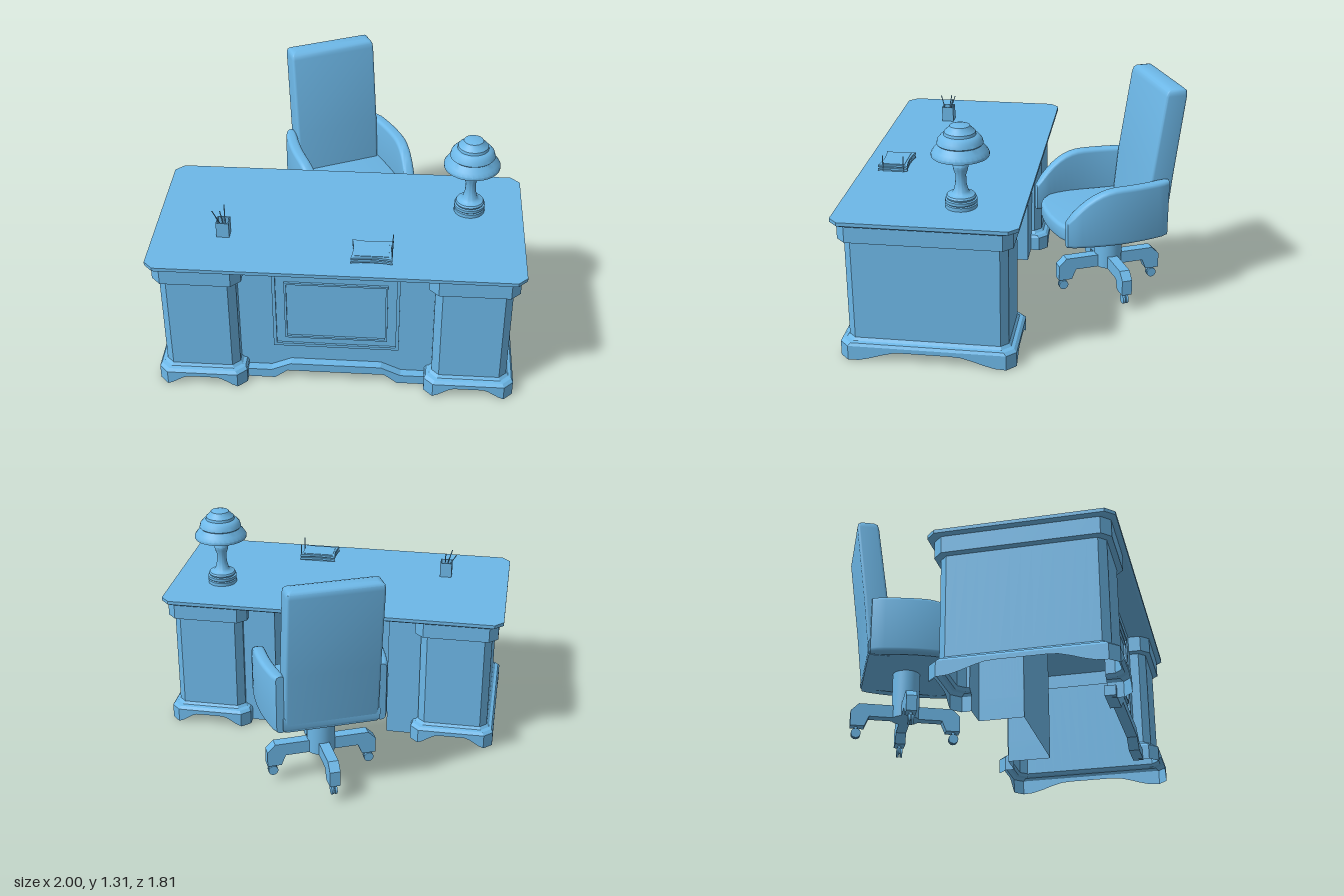
import * as THREE from 'three';
import { toCreasedNormals } from 'three/addons/utils/BufferGeometryUtils.js';

const mat = new THREE.MeshStandardMaterial({ color: 0x6db8e8 });
const matDouble = new THREE.MeshStandardMaterial({ color: 0x6db8e8, side: THREE.DoubleSide });

function add(parent, name, geo, x = 0, y = 0, z = 0, material = mat) {
  const mesh = new THREE.Mesh(geo, material);
  mesh.name = name;
  mesh.position.set(x, y, z);
  parent.add(mesh);
  return mesh;
}

// Rectangle outline, counter-clockwise, with cut (arc = 1) or rounded corners
function outline(hw, hd, r, arc = 1) {
  const pts = [];
  [[1, 1], [-1, 1], [-1, -1], [1, -1]].forEach(([sx, sy], k) => {
    for (let i = 0; i <= arc; i++) {
      const a = (k + i / arc) * Math.PI / 2;
      pts.push([sx * (hw - r) + r * Math.cos(a), sy * (hd - r) + r * Math.sin(a)]);
    }
  });
  return pts;
}

// Skin a stack of rings and, unless it is a shell, close both ends
function loft(rings, crease = 0.5, capped = true) {
  const pos = [];
  const tri = (...v) => v.forEach((p) => pos.push(...p));
  const middle = (ring) => [0, 1, 2].map((c) => {
    const v = ring.map((p) => p[c]);
    return (Math.min(...v) + Math.max(...v)) / 2;
  });
  const n = rings[0].length;
  const last = rings[rings.length - 1];
  for (let i = 0; i < n; i++) {
    const j = (i + 1) % n;
    for (let k = 0; k < rings.length - 1; k++) {
      const a = rings[k], b = rings[k + 1];
      tri(a[i], a[j], b[j]);
      tri(a[i], b[j], b[i]);
    }
    if (capped) {
      tri(middle(rings[0]), rings[0][j], rings[0][i]);
      tri(middle(last), last[i], last[j]);
    }
  }
  const geo = new THREE.BufferGeometry();
  geo.setAttribute('position', new THREE.Float32BufferAttribute(pos, 3));
  return toCreasedNormals(geo, crease);
}

const levelRing = (pts, y, zc = 0) => pts.map(([u, v]) => [u, y, zc - v]);

const polygon = (pts) => new THREE.Shape(pts.map(([x, y]) => new THREE.Vector2(x, y)));

const mirror = ([x, y]) => [-x, y];

function frameGeometry(hw, hh, w, depth) {
  const rect = (a, b) => [[-a, -b], [a, -b], [a, b], [-a, b]];
  const shape = polygon(rect(hw, hh));
  shape.holes.push(polygon(rect(hw - w, hh - w).reverse()));
  return new THREE.ExtrudeGeometry(shape, { depth, bevelEnabled: false });
}

const PED_X = 0.735, PED_Z = 0.407, PANEL_Z = 0.75;

// Plan of the desk body: two pedestals, recessed front panel and stepped kneehole
function deskPlan(w, d, c) {
  const xi = PED_X - w, xo = PED_X + w, zf = PED_Z + d, zb = PED_Z - d;
  const half = [[xi, PANEL_Z], [xi, zf - c], [xi + c, zf], [xo - c, zf], [xo, zf - c], [xo, zb + c],
    [xo - c, zb], [xi + c, zb], [xi, zb + c], [xi, 0.03], [0.34, 0.03], [0.34, 0.28]];
  const corners = [...half, ...half.map(mirror).reverse()];
  const steps = 14;
  return corners.flatMap(([x, z], i) => {
    const [nx, nz] = corners[(i + 1) % corners.length];
    return Array.from({ length: steps }, (_, k) => [x + (nx - x) * k / steps, z + (nz - z) * k / steps]);
  });
}

function makeDesk() {
  const desk = new THREE.Group();
  desk.name = 'desk';
  add(desk, 'desktop', loft([[0.985, 0.79], [1, 0.8], [1, 0.82]].map(
    ([w, y]) => levelRing(outline(w, w - 0.505, 0.05), y, 0.405))));

  // Hollow body: bracket feet with scalloped edge, walls and cornice
  const arch = (t) => 0.06 * (1 - THREE.MathUtils.smoothstep(Math.abs(t), 0.3, 0.85));
  const footY = (x, z) => {
    if (Math.abs(x) < PED_X - 0.245 - 1e-6) return z > 0.5 ? 0.06 : 0;
    return Math.max(arch((Math.abs(x) - PED_X) / 0.245), arch((z - PED_Z) / 0.48));
  };
  const foot = deskPlan(0.245, 0.48, 0.05).map(([x, z]) => [x, footY(x, z), z]);
  const profile = [[0.245, 0.48, 0.085, 0.05], [0.235, 0.465, 0.1, 0.05], [0.218, 0.447, 0.105, 0.045],
    [0.205, 0.435, 0.12, 0.04], [0.205, 0.435, 0.69, 0.04], [0.238, 0.465, 0.695, 0.05], [0.238, 0.465, 0.79, 0.05]];
  const rings = profile.map(([w, d, y, c]) => deskPlan(w, d, c).map(([x, z]) => [x, y, z]));
  add(desk, 'deskBody', loft([foot, ...rings], 0.3, false), 0, 0, 0, matDouble);

  // Nested mouldings on both faces of the front panel
  for (const z of [PANEL_Z, PANEL_Z - 0.012]) {
    add(desk, 'outerMoulding', frameGeometry(0.345, 0.25, 0.018, 0.012), 0, 0.46, z);
    add(desk, 'innerMoulding', frameGeometry(0.28, 0.19, 0.012, 0.012), 0, 0.46, z);
  }
  const half = [[0.52, 0.005], [0.52, 0.06], [0.36, 0.06], [0.25, 0.11]];
  const under = [[0.27, 0.06], [0.34, 0.005]];
  const plinth = polygon([...half, ...half.map(mirror).reverse(), ...under.map(mirror).reverse(), ...under]);
  add(desk, 'plinth', new THREE.ExtrudeGeometry(plinth, { depth: 0.06, bevelEnabled: false }), 0, 0, PANEL_Z - 0.01);
  return desk;
}

function makeLamp() {
  const lamp = new THREE.Group();
  lamp.name = 'lamp';
  const lathe = (pts) => toCreasedNormals(
    new THREE.LatheGeometry(pts.map(([r, y]) => new THREE.Vector2(r, y)), 32), 0.6);
  add(lamp, 'lampStand', lathe([[0, 0], [0.085, 0], [0.085, 0.02], [0.078, 0.024], [0.085, 0.03], [0.085, 0.046],
    [0.076, 0.05], [0.08, 0.06], [0.074, 0.07], [0.05, 0.078], [0.04, 0.09], [0.03, 0.13], [0.028, 0.18],
    [0.038, 0.21], [0.042, 0.23], [0.034, 0.25], [0.034, 0.27], [0.045, 0.3], [0.045, 0.33], [0, 0.33]]));
  add(lamp, 'lampShade', lathe([[0.153, 0.29], [0.153, 0.305], [0.14, 0.325], [0.117, 0.352], [0.123, 0.358],
    [0.117, 0.38], [0.1, 0.4], [0.085, 0.405], [0.082, 0.42], [0.06, 0.44], [0.053, 0.452], [0.03, 0.458],
    [0, 0.46]]), 0, 0, 0, matDouble);
  lamp.position.set(0.705, 0.82, 0.25);
  return lamp;
}

function makeStationery() {
  const group = new THREE.Group();
  group.name = 'stationery';
  // Square pencil cup
  const cup = frameGeometry(0.035, 0.035, 0.006, 0.09).rotateX(-Math.PI / 2);
  add(group, 'pencilCup', cup, -0.62, 0.82, 0.57);
  add(group, 'cupFloor', new THREE.BoxGeometry(0.06, 0.01, 0.06), -0.62, 0.825, 0.57);
  for (const [x, y, z] of [[-0.68, 0.96, 0.56], [-0.65, 0.965, 0.62], [-0.617, 0.98, 0.525], [-0.64, 0.95, 0.545]]) {
    const path = new THREE.LineCurve3(new THREE.Vector3(-0.61, 0.835, 0.575), new THREE.Vector3(x, y, z));
    add(group, 'pencil', new THREE.TubeGeometry(path, 1, 0.003, 6));
  }
  // Paper tray with wavy edges and two pens
  const sheet = new THREE.Shape();
  sheet.moveTo(-0.11, -0.085);
  sheet.quadraticCurveTo(0, -0.06, 0.11, -0.085);
  sheet.quadraticCurveTo(0.09, 0, 0.11, 0.085);
  sheet.quadraticCurveTo(0, 0.06, -0.11, 0.085);
  sheet.quadraticCurveTo(-0.09, 0, -0.11, -0.085);
  [0.83, 0.85].forEach((y) => {
    const geo = new THREE.ExtrudeGeometry(sheet, { depth: 0.012, bevelEnabled: false }).rotateX(-Math.PI / 2);
    add(group, 'trayLayer', geo, 0.19, y, 0.715);
  });
  add(group, 'trayBody', new THREE.BoxGeometry(0.18, 0.045, 0.125), 0.19, 0.8425, 0.715);
  for (const z of [0.655, 0.772]) {
    add(group, 'pen', new THREE.CylinderGeometry(0.003, 0.003, 0.09, 6), 0.297, 0.875, z);
  }
  return group;
}

function makeChair() {
  const chair = new THREE.Group();
  chair.name = 'chair';
  // Seat with bowed front
  const plan = new THREE.Shape();
  plan.moveTo(-0.25, 0.23);
  plan.lineTo(-0.28, -0.2);
  plan.quadraticCurveTo(-0.25, -0.33, -0.14, -0.35);
  plan.quadraticCurveTo(0, -0.375, 0.14, -0.35);
  plan.quadraticCurveTo(0.25, -0.33, 0.28, -0.2);
  plan.lineTo(0.25, 0.23);
  const seat = new THREE.ExtrudeGeometry(plan, { depth: 0.055, bevelSize: 0.02, bevelThickness: 0.02, bevelSegments: 3 });
  add(chair, 'seat', toCreasedNormals(seat.rotateX(-Math.PI / 2), 0.6), 0, 0.47, 0);

  // Reclined backrest
  const back = [[0.45, 0.262, 0.065, -0.18], [0.8, 0.262, 0.068, -0.215], [1.27, 0.26, 0.064, -0.28],
    [1.295, 0.257, 0.058, -0.283], [1.306, 0.248, 0.046, -0.284], [1.312, 0.225, 0.025, -0.285]];
  add(chair, 'backrest', loft(back.map(([y, w, d, z]) => levelRing(outline(w, d, d * 0.25, 4), y, z)), 0.7));

  // Bowed armrests whose top sweeps down at the front
  for (const s of [-1, 1]) {
    const rings = [];
    for (let i = 0; i <= 16; i++) {
      const t = i / 16;
      const z = -0.24 + 0.6 * t;
      const x = s * (0.262 + 0.055 * Math.sin(Math.PI * (0.1 + 0.8 * t)));
      const drop = THREE.MathUtils.clamp((t - 0.5) / 0.5, 0, 1);
      const h = (0.79 - 0.18 * drop ** 2.2 - 0.45) / 2;
      const w = i === 0 || i === 16 ? 0.024 : 0.034;
      rings.push(outline(w, h, 0.022, 4).map(([u, v]) => [x + u, 0.45 + h + v, z]));
    }
    add(chair, 'armrest', loft(rings, 0.7));
  }

  // Column, four-legged base and casters
  add(chair, 'column', toCreasedNormals(new THREE.CylinderGeometry(0.08, 0.08, 0.29, 24), 0.6), 0, 0.315, 0);
  const legShape = polygon([[0, 0.17], [0.21, 0.17], [0.235, 0.11], [0.315, 0.11], [0.315, 0.2], [0.27, 0.245], [0, 0.245]]);
  for (let i = 0; i < 4; i++) {
    const leg = new THREE.Group();
    leg.name = 'baseLeg';
    const geo = new THREE.ExtrudeGeometry(legShape, { depth: 0.06, bevelEnabled: false }).translate(0, 0, -0.03);
    add(leg, 'legArm', geo);
    add(leg, 'casterStem', new THREE.CylinderGeometry(0.01, 0.01, 0.05, 8), 0.28, 0.09, 0);
    for (const s of [-1, 1]) {
      const wheel = new THREE.CylinderGeometry(0.028, 0.028, 0.012, 16).rotateX(Math.PI / 2);
      add(leg, 'casterWheel', wheel, 0.28, 0.07, s * 0.01);
    }
    leg.rotation.y = i * Math.PI / 2;
    chair.add(leg);
  }
  chair.position.set(-0.03, 0, -0.49);
  chair.rotation.y = 0.43;
  return chair;
}

export function createModel() {
  const model = new THREE.Group();
  model.name = 'deskSet';
  model.add(makeDesk(), makeLamp(), makeStationery(), makeChair());
  return model;
}
